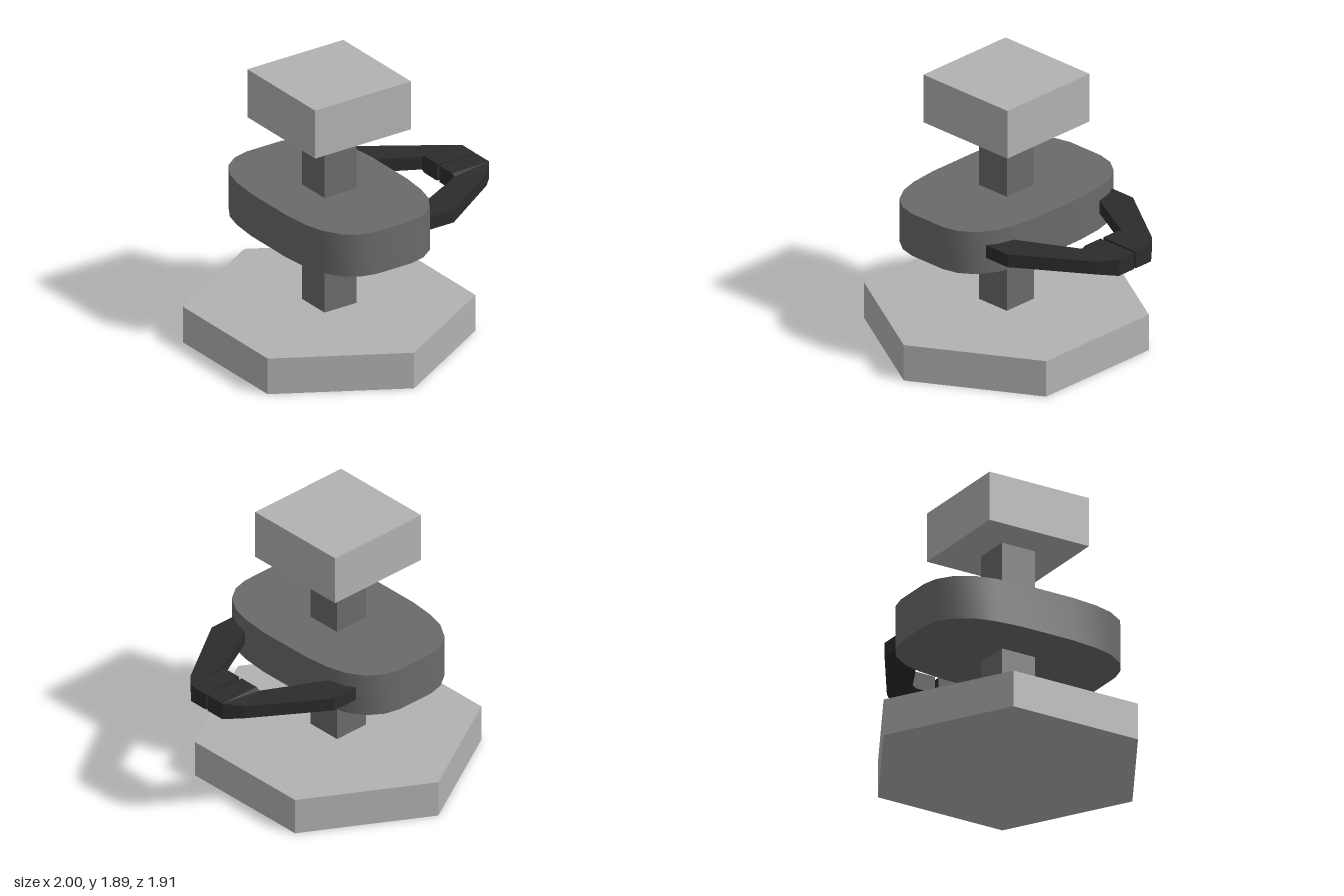
import * as THREE from 'three';
import { toCreasedNormals } from 'three/addons/utils/BufferGeometryUtils.js';

const CX = -0.17; // axis of the stand

function material(name, color) {
  const m = new THREE.MeshStandardMaterial({ color });
  m.name = name;
  return m;
}

// One claw arm lofted through four-cornered sections; side is +1 or -1 along z
function clawGeometry(side) {
  // inner x, inner z, outer x, outer z, half height
  const sections = [
    [0.2, 0.445, 0.2, 0.585, 0.046],
    [0.29, 0.398, 0.41, 0.585, 0.046],
    [0.7, 0.185, 0.905, 0.255, 0.046],
    [0.7, 0.155, 1.0, 0.15, 0.06],
    [0.7, 0.014, 1.0, 0.007, 0.06],
  ];
  const y = 0.938;
  const rings = sections.map(([ix, iz, ox, oz, h]) => [
    [ix, y + h, iz * side], [ox, y + h, oz * side],
    [ox, y - h, oz * side], [ix, y - h, iz * side],
  ]);
  const pos = [];
  const quad = (a, b, c, d) => {
    const corners = side > 0 ? [a, b, c, a, c, d] : [a, c, b, a, d, c];
    corners.forEach((p) => pos.push(...p));
  };
  for (let i = 0; i < rings.length - 1; i++) {
    for (let j = 0; j < 4; j++) {
      const k = (j + 1) % 4;
      quad(rings[i][j], rings[i][k], rings[i + 1][k], rings[i + 1][j]);
    }
  }
  quad(...[...rings[0]].reverse());
  quad(...rings[rings.length - 1]);
  const g = new THREE.BufferGeometry();
  g.setAttribute('position', new THREE.Float32BufferAttribute(pos, 3));
  g.computeVertexNormals();
  return g;
}

// Rounded oblong slab, one quarter of the outline mirrored four ways
function bodyGeometry() {
  const quarter = [[0.48, 0.2], [0.46, 0.39], [0.425, 0.52], [0.35, 0.64], [0.25, 0.71], [0.14, 0.737]];
  const flip = (sx, sz, pts) => pts.map(([x, z]) => new THREE.Vector2(x * sx, z * sz));
  const back = [...quarter].reverse();
  const shape = new THREE.Shape([
    ...flip(1, 1, quarter), ...flip(-1, 1, back),
    ...flip(-1, -1, quarter), ...flip(1, -1, back),
  ]);
  const g = new THREE.ExtrudeGeometry(shape, { depth: 0.305, bevelEnabled: false });
  g.rotateX(-Math.PI / 2);
  return toCreasedNormals(g, 0.7);
}

export function createModel() {
  const group = new THREE.Group();
  const light = material('light grey', 0xb2b2b2);
  const mid = material('mid grey', 0x6a6a6a);
  const dark = material('charcoal', 0x2c2c2c);

  const add = (name, geometry, mat, x = 0, y = 0) => {
    const mesh = new THREE.Mesh(geometry, mat);
    mesh.name = name;
    mesh.position.set(x, y, 0);
    group.add(mesh);
  };

  // Hexagonal foot with points towards the front and back
  const hexagon = new THREE.CylinderGeometry(0.957, 0.957, 0.257, 6);
  add('base', toCreasedNormals(hexagon, 0.3), light, CX, 0.1285);

  add('column', new THREE.BoxGeometry(0.255, 1.29, 0.255), mid, CX, 0.9);
  add('body', bodyGeometry(), mid, CX, 0.78);
  add('head', new THREE.BoxGeometry(0.765, 0.346, 0.765), light, CX, 1.713);

  // Pair of claw arms
  add('leftClaw', clawGeometry(-1), dark);
  add('rightClaw', clawGeometry(1), dark);

  return group;
}
